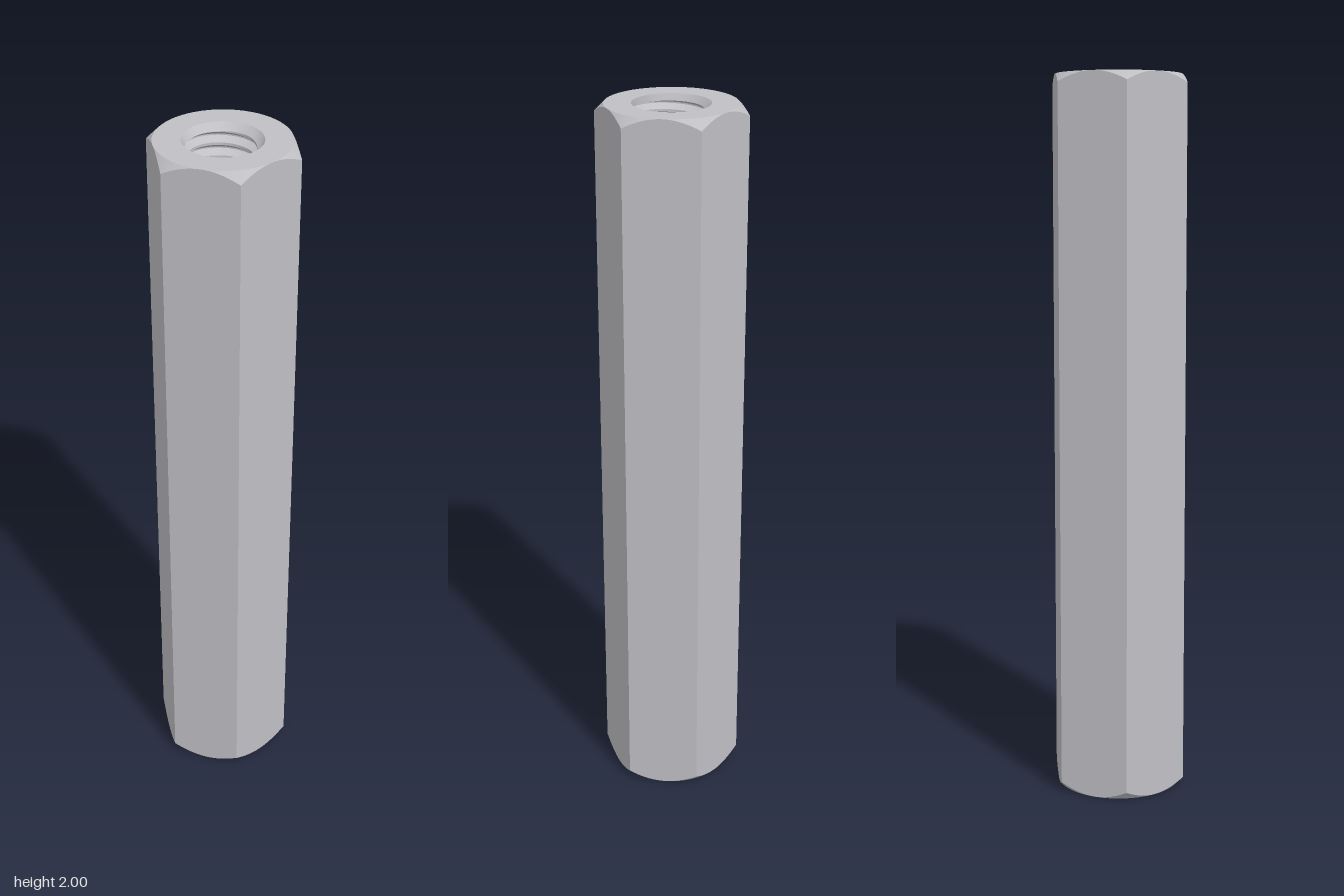
import * as THREE from 'three';
import { toCreasedNormals } from 'three/addons/utils/BufferGeometryUtils.js';

const SEG = 96, LENGTH = 2, APOTHEM = 0.174, RIM = 0.103;
const MINOR = 0.084, MAJOR = 0.102, PITCH = 0.035;
const THREAD_TOP = 1.982, THREAD_BOTTOM = 1.4;

// Skin over a list of rings; each ring maps an angle to [radius, height]
function loft(rings) {
  const pos = [], index = [], w = SEG + 1;
  rings.forEach((ring, i) => {
    for (let j = 0; j <= SEG; j++) {
      const t = (j / SEG) * Math.PI * 2;
      const [r, y] = ring(t);
      pos.push(r * Math.cos(t), y, -r * Math.sin(t));
      if (i > 0 && j < SEG) {
        const a = (i - 1) * w + j, c = i * w + j;
        index.push(a, a + 1, c, a + 1, c + 1, c);
      }
    }
  });
  const g = new THREE.BufferGeometry();
  g.setAttribute('position', new THREE.Float32BufferAttribute(pos, 3));
  g.setIndex(index);
  return toCreasedNormals(g, 0.5);
}

const circle = (r, y) => () => [r, y];

// Hexagon radius with corners on the x axis
function hexRadius(t) {
  const sector = Math.PI / 3;
  return APOTHEM / Math.cos((t % sector) - sector / 2);
}

// Hexagonal bar with 45 degree turned chamfers and open rims
function bodyGeometry() {
  const drop = (t) => hexRadius(t) - APOTHEM;
  return loft([
    circle(RIM, 0),
    circle(APOTHEM, 0),
    (t) => [hexRadius(t), drop(t)],
    (t) => [hexRadius(t), LENGTH - drop(t)],
    circle(APOTHEM, LENGTH),
    circle(RIM, LENGTH),
  ]);
}

// Thread radius over one pitch: crest, flank, root, flank
const KNOTS = [0, 0.2, 0.55, 0.65];
function threadRadius(f) {
  const [, a, b, c] = KNOTS;
  const k = f < a ? 0 : f < b ? (f - a) / (b - a) : f < c ? 1 : (1 - f) / (1 - c);
  return MINOR + (MAJOR - MINOR) * k;
}

// Countersunk right-hand threaded blind hole with a drill-point bottom
function holeGeometry() {
  const rings = [circle(RIM, LENGTH)];
  const turns = Math.ceil((THREAD_TOP - THREAD_BOTTOM) / PITCH) + 1;
  for (let k = 0; k <= turns; k++) {
    for (const knot of KNOTS) {
      rings.push((t) => {
        const start = THREAD_TOP + (t / (Math.PI * 2)) * PITCH;
        const y = THREE.MathUtils.clamp(start - (k + knot) * PITCH, THREAD_BOTTOM, THREAD_TOP);
        const f = THREE.MathUtils.euclideanModulo((start - y) / PITCH, 1);
        return [threadRadius(f), y];
      });
    }
  }
  rings.push(circle(MINOR, THREAD_BOTTOM), circle(MINOR, THREAD_BOTTOM - 0.06), circle(0, THREAD_BOTTOM - 0.11));
  return loft(rings);
}

export function createModel() {
  const steel = new THREE.MeshStandardMaterial({ color: 0xc0bfc4 });
  steel.name = 'steel';
  const model = new THREE.Group();
  model.name = 'hexStandoff';

  const body = new THREE.Mesh(bodyGeometry(), steel);
  body.name = 'hexBody';

  const hole = holeGeometry();
  const topHole = new THREE.Mesh(hole, steel);
  topHole.name = 'topThreadedHole';

  // Same hole turned over for the lower end
  const bottomHole = new THREE.Mesh(hole, steel);
  bottomHole.name = 'bottomThreadedHole';
  bottomHole.rotation.x = Math.PI;
  bottomHole.position.y = LENGTH;

  model.add(body, topHole, bottomHole);
  return model;
}
